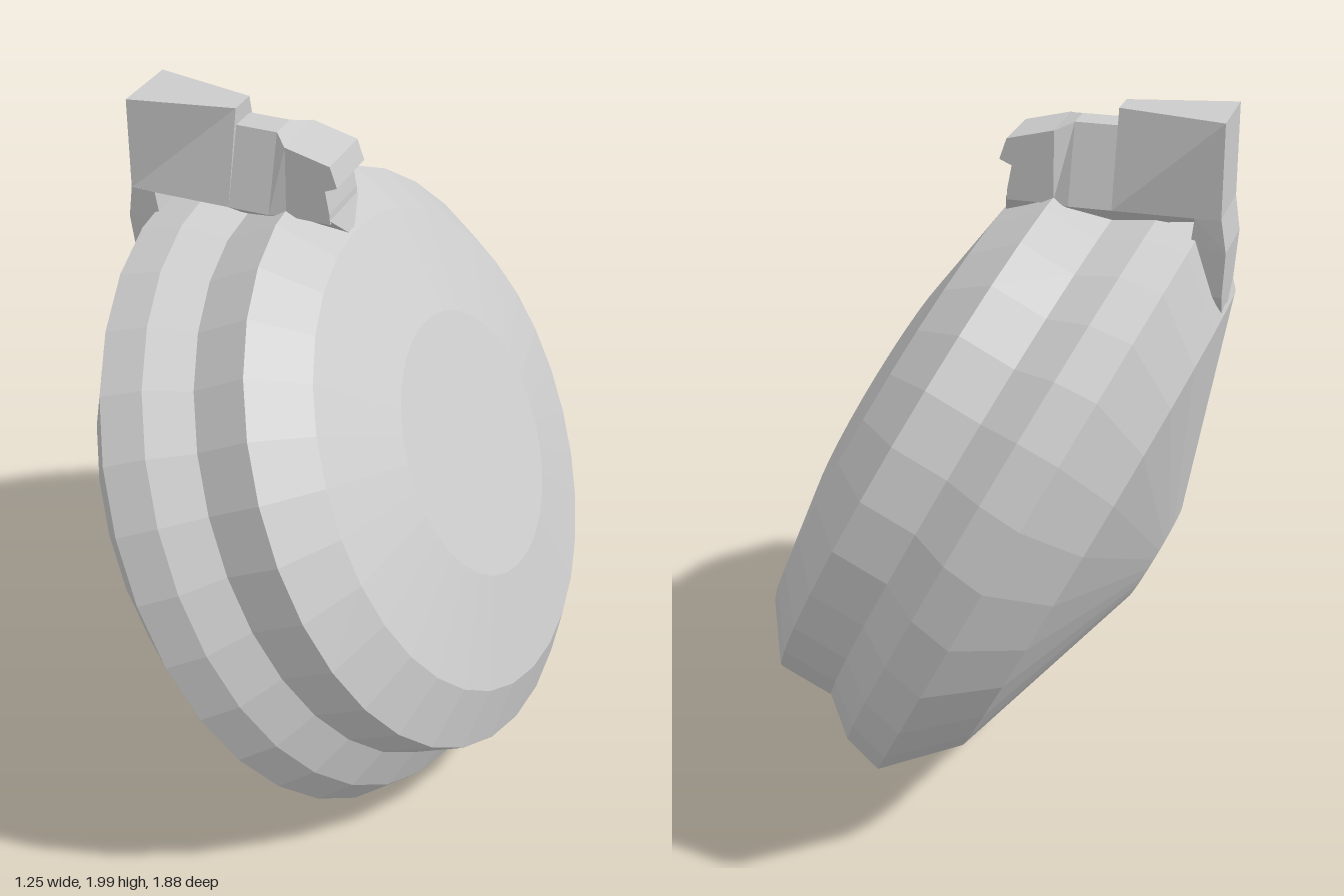
import * as THREE from 'three';
import { ConvexGeometry } from 'three/addons/geometries/ConvexGeometry.js';

const material = new THREE.MeshStandardMaterial({ color: 0xcccccc, flatShading: true });

function part(name, geometry) {
  const mesh = new THREE.Mesh(geometry, material);
  mesh.name = name;
  return mesh;
}

// Closed skin through cross-sections; each one is an equal-length ring of [x, y, z]
function loft(rings) {
  const n = rings[0].length;
  const index = [];
  for (let r = 0; r < rings.length - 1; r++) {
    for (let i = 0; i < n; i++) {
      const a = r * n + i, b = r * n + (i + 1) % n;
      index.push(a, b, a + n, b, b + n, a + n);
    }
  }
  const last = (rings.length - 1) * n;
  for (let i = 1; i < n - 1; i++) {
    index.push(0, i + 1, i, last, last + i, last + i + 1);
  }
  const geometry = new THREE.BufferGeometry();
  geometry.setAttribute('position', new THREE.Float32BufferAttribute(rings.flat(2), 3));
  geometry.setIndex(index);
  const flat = geometry.toNonIndexed();
  flat.computeVertexNormals();
  return flat;
}

// Hull of points [x, y, half width], mirrored across z
function mirroredHull(points) {
  return new ConvexGeometry(points.flatMap(([x, y, z]) => z === 0
    ? [new THREE.Vector3(x, y, 0)]
    : [new THREE.Vector3(x, y, z), new THREE.Vector3(x, y, -z)]));
}

export function createModel() {
  const model = new THREE.Group();
  model.name = 'lidded disc case';

  // Round body: a turned profile [radius, height along axis]
  const profile = [
    [0, -0.36], [0.15, -0.36], [0.76, -0.168], [0.938, 0], [0.91, 0.117],
    [0.828, 0.22], [0.831, 0.381], [0.686, 0.491], [0.375, 0.552], [0, 0.552],
  ].map(([r, h]) => new THREE.Vector2(r, h));
  const body = part('body', new THREE.LatheGeometry(profile, 32));
  // Lean the axis over towards +x, keeping a vertex at the lowest point
  body.geometry.rotateY(Math.PI / 2);
  body.rotation.z = -Math.atan2(0.892, 0.451);
  body.position.set(-0.125, 0.85, 0);
  model.add(body);

  const clasp = new THREE.Group();
  clasp.name = 'clasp';
  model.add(clasp);

  // Clasp block with tapering top, step and narrow waist: [x, top, half base, half top, keel]
  const sections = [
    [-0.61, 2.0, 0.105, 0.105, 1.735],
    [-0.318, 2.0, 0.105, 0.042, 1.67],
    [-0.318, 1.953, 0.105, 0.042, 1.67],
    [-0.2, 1.953, 0.105, 0.042, 1.67],
    [-0.155, 1.938, 0.092, 0.092, 1.67],
  ];
  clasp.add(part('claspBlock', loft(sections.map(([x, top, base, upper, keel]) => [
    [x, top, -upper], [x, top, upper], [x, 1.74, base], [x, keel, 0], [x, 1.74, -base],
  ]))));

  // Notched front catch
  const outline = [
    [-0.157, 1.74], [-0.028, 1.74], [-0.03, 1.77], [-0.042, 1.835],
    [-0.008, 1.85], [-0.028, 1.908], [-0.157, 1.94],
  ].map(([x, y]) => new THREE.Vector2(x, y));
  const catchGeometry = new THREE.ExtrudeGeometry(new THREE.Shape(outline), { depth: 0.184, bevelEnabled: false });
  catchGeometry.translate(0, 0, -0.092);
  clasp.add(part('frontCatch', catchGeometry));

  // Pointed foot below the catch
  clasp.add(part('catchFoot', mirroredHull([
    [-0.157, 1.75, 0.092], [-0.026, 1.75, 0.092], [0, 1.67, 0], [-0.157, 1.66, 0],
  ])));

  // Rounded tab hanging down the back
  clasp.add(part('backTab', mirroredHull([
    [-0.61, 1.745, 0.105], [-0.54, 1.74, 0.105], [-0.625, 1.65, 0.1], [-0.53, 1.66, 0.1],
    [-0.617, 1.52, 0.085], [-0.57, 1.52, 0.085], [-0.612, 1.46, 0.045], [-0.585, 1.45, 0.045],
  ])));

  return model;
}
